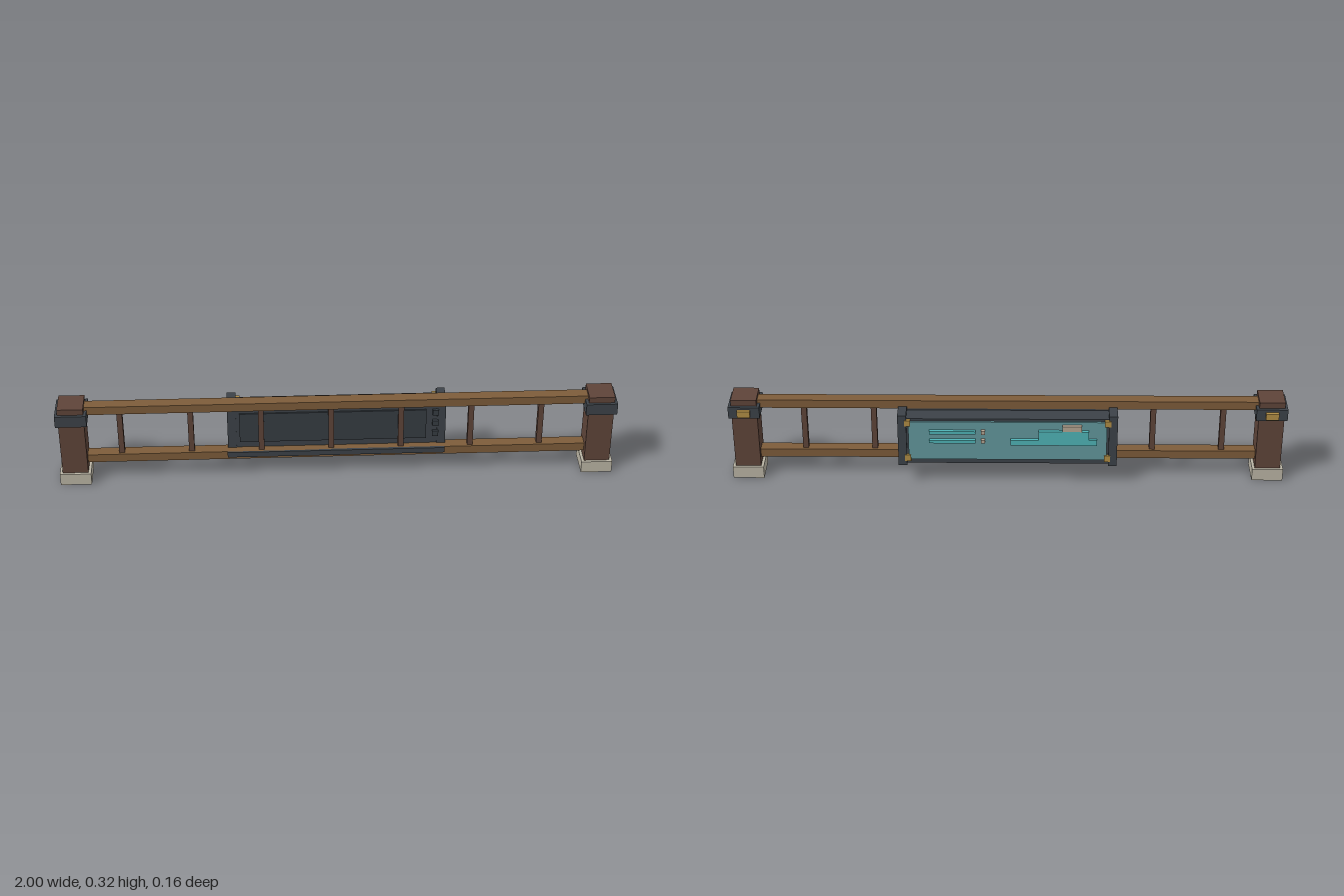
import * as THREE from 'three';

const mat = (name, color) => {
  const m = new THREE.MeshStandardMaterial({ color });
  m.name = name;
  return m;
};

export function createModel() {
  const darkWood = mat('dark wood', 0x5e4439);
  const railWood = mat('rail wood', 0x7d5c3a);
  const metal = mat('dark metal', 0x3c4248);
  const paneMetal = mat('pane metal', 0x363c42);
  const stone = mat('stone', 0xbab4a4);
  const gold = mat('gold', 0xb08d45);
  const glass = mat('dull teal', 0x62979d);
  const teal = mat('bright teal', 0x4fb3b6);
  const tan = mat('tan', 0xb5a592);

  const model = new THREE.Group();
  model.name = 'fencePanel';

  // Box given by its minimum and maximum on each axis
  const box = (name, m, [x0, x1], [y0, y1], [z0, z1], parent = model) => {
    const mesh = new THREE.Mesh(new THREE.BoxGeometry(x1 - x0, y1 - y0, z1 - z0), m);
    mesh.position.set((x0 + x1) / 2, (y0 + y1) / 2, (z0 + z1) / 2);
    mesh.name = name;
    parent.add(mesh);
    return mesh;
  };

  // End posts with stone foot, metal band and gold plaque at the back
  for (const side of [-1, 1]) {
    const post = new THREE.Group();
    post.name = side > 0 ? 'leftPost' : 'rightPost';
    post.position.x = side * 0.944;
    box('postShaft', darkWood, [-0.046, 0.046], [0.04, 0.32], [-0.022, 0.07], post);
    box('postFoot', stone, [-0.056, 0.056], [0, 0.046], [-0.033, 0.08], post);
    box('postBand', metal, [-0.056, 0.056], [0.252, 0.297], [-0.033, 0.08], post);
    box('postPlaque', gold, [-0.023, 0.023], [0.262, 0.287], [-0.046, -0.033], post);
    model.add(post);
  }

  // Rails and balusters
  box('topRail', railWood, [-0.91, 0.91], [0.278, 0.31], [0, 0.043]);
  box('bottomRail', railWood, [-0.91, 0.91], [0.072, 0.104], [0, 0.043]);
  for (let i = 0; i < 7; i++) {
    const x = -0.775 + i * 0.2515;
    box('baluster', darkWood, [x - 0.01, x + 0.01], [0.1, 0.282], [0.01, 0.034]);
  }

  // Console body, with front lip over the bottom rail
  const consoleBox = new THREE.Group();
  consoleBox.name = 'console';
  model.add(consoleBox);
  const part = (name, m, x, y, z) => box(name, m, x, y, z, consoleBox);
  part('consoleBody', metal, [-0.37, 0.37], [0.086, 0.271], [-0.06, 0.005]);
  part('frontPlate', metal, [-0.37, 0.37], [0.09, 0.281], [0.002, 0.015]);
  part('frontPane', paneMetal, [-0.35, 0.323], [0.128, 0.25], [0.014, 0.02]);
  part('frontLip', metal, [-0.395, 0.39], [0.083, 0.104], [0.04, 0.05]);
  for (const y of [0.15, 0.195, 0.24])
    part('frontButton', paneMetal, [0.345, 0.367], [y - 0.011, y + 0.011], [0.014, 0.026]);
  for (const side of [-1, 1]) {
    const a = side * 0.362, b = side * 0.393;
    part('endFlange', metal, [Math.min(a, b), Math.max(a, b)], [0.08, 0.286], [-0.068, 0.018]);
  }

  // Back screen with gold corners
  part('screen', glass, [-0.355, 0.355], [0.106, 0.262], [-0.067, -0.058]);
  for (const x of [-0.358, 0.358])
    for (const y of [0.113, 0.257])
      part('screenCorner', gold, [x - 0.011, x + 0.011], [y - 0.012, y + 0.012], [-0.072, -0.058]);

  // Raised trim on the screen
  const relief = [-0.08, -0.066];
  for (const y of [0.187, 0.224]) {
    part('screenStrip', teal, [0.115, 0.28], [y - 0.006, y + 0.006], relief);
    part('screenStud', tan, [0.08, 0.095], [y - 0.007, y + 0.007], relief);
  }
  part('lowerTrim', teal, [-0.32, -0.01], [0.173, 0.195], relief);
  part('upperTrim', teal, [-0.29, -0.11], [0.195, 0.23], relief);
  part('trimTab', tan, [-0.265, -0.195], [0.23, 0.252], relief);

  return model;
}
